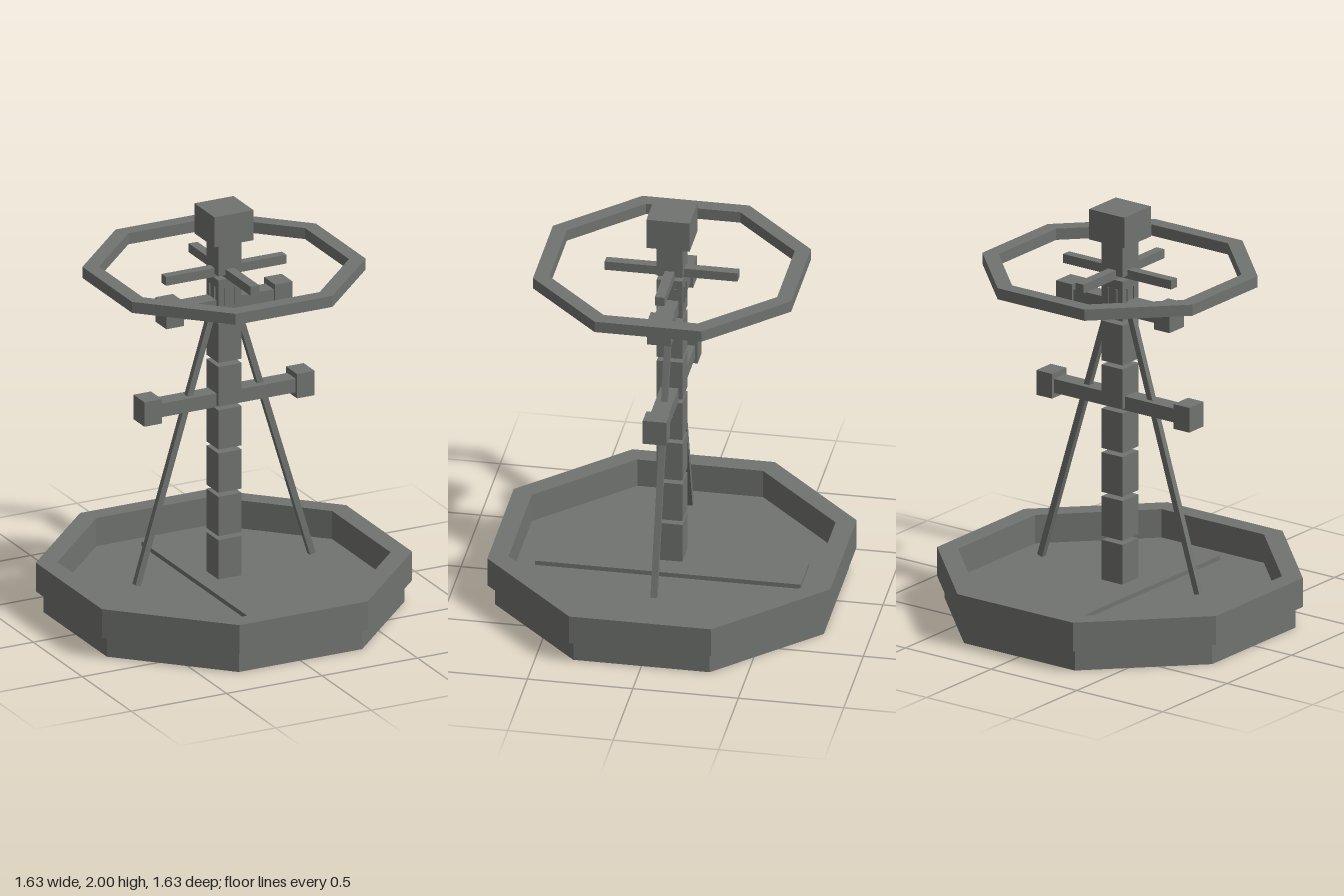
import * as THREE from 'three';

const stone = new THREE.MeshStandardMaterial({ color: 0x70736f });
stone.name = 'dark stone';

// Octagon outline with flat sides facing x and z, given its apothem
function octagon(apothem, Type) {
  const r = apothem / Math.cos(Math.PI / 8);
  const points = [];
  for (let i = 0; i < 8; i++) {
    const a = (i + 0.5) * Math.PI / 4;
    points.push(new THREE.Vector2(r * Math.cos(a), r * Math.sin(a)));
  }
  return new Type(points);
}

export function createModel() {
  const model = new THREE.Group();

  function add(name, geometry) {
    const mesh = new THREE.Mesh(geometry, stone);
    mesh.name = name;
    model.add(mesh);
    return mesh;
  }

  // Box spanning y0..y1, centred on (x, z)
  function box(name, w, d, y0, y1, x = 0, z = 0) {
    const mesh = add(name, new THREE.BoxGeometry(w, y1 - y0, d));
    mesh.position.set(x, (y0 + y1) / 2, z);
    return mesh;
  }

  // Octagonal slab, or ring when an inner apothem is given
  function slab(name, outer, inner, y0, y1) {
    const shape = octagon(outer, THREE.Shape);
    if (inner) shape.holes.push(octagon(inner, THREE.Path));
    const geometry = new THREE.ExtrudeGeometry(shape, { depth: y1 - y0, bevelEnabled: false });
    geometry.rotateX(-Math.PI / 2);
    add(name, geometry).position.y = y0;
  }

  // Basin and floor plate
  slab('basinFloor', 0.78, 0, 0, 0.108);
  slab('basinRim', 0.813, 0.72, 0.105, 0.248);
  box('floorPlate', 0.22, 1.26, 0.1, 0.13);

  // Column of separated blocks with a cap
  for (let i = 0; i < 8; i++) {
    const y = 0.168 + i * 0.2165;
    box('columnBlock', 0.122, 0.122, y, y + 0.196);
  }
  box('cap', 0.205, 0.205, 1.85, 2);

  // Upper ring with short cross spokes
  slab('upperRing', 0.612, 0.54, 1.665, 1.72);
  box('spokeBarX', 0.63, 0.046, 1.668, 1.712);
  box('spokeBarZ', 0.046, 0.63, 1.668, 1.712);

  // Cross arms with end blocks
  for (const [reach, y] of [[0.4, 1.058], [0.285, 1.525]]) {
    box('crossArm', reach * 2, 0.085, y - 0.034, y + 0.034);
    for (const side of [-1, 1]) {
      box('armEndBlock', 0.092, 0.112, y - 0.06, y + 0.062, side * reach);
    }
  }

  // Slanted legs
  const top = new THREE.Vector2(0.052, 1.53);
  const foot = new THREE.Vector2(0.458, 0.19);
  const run = foot.clone().sub(top);
  for (const side of [-1, 1]) {
    const leg = add('leg', new THREE.BoxGeometry(0.03, run.length(), 0.03));
    leg.position.set(side * (top.x + foot.x) / 2, (top.y + foot.y) / 2, 0);
    leg.rotation.z = side * Math.atan2(run.x, -run.y);
  }

  // Small pins circling the column
  for (let i = 0; i < 8; i++) {
    const a = (i + 0.5) * Math.PI / 4;
    box('pin', 0.01, 0.01, 1.535, 1.62, 0.067 * Math.cos(a), 0.067 * Math.sin(a));
  }

  return model;
}
